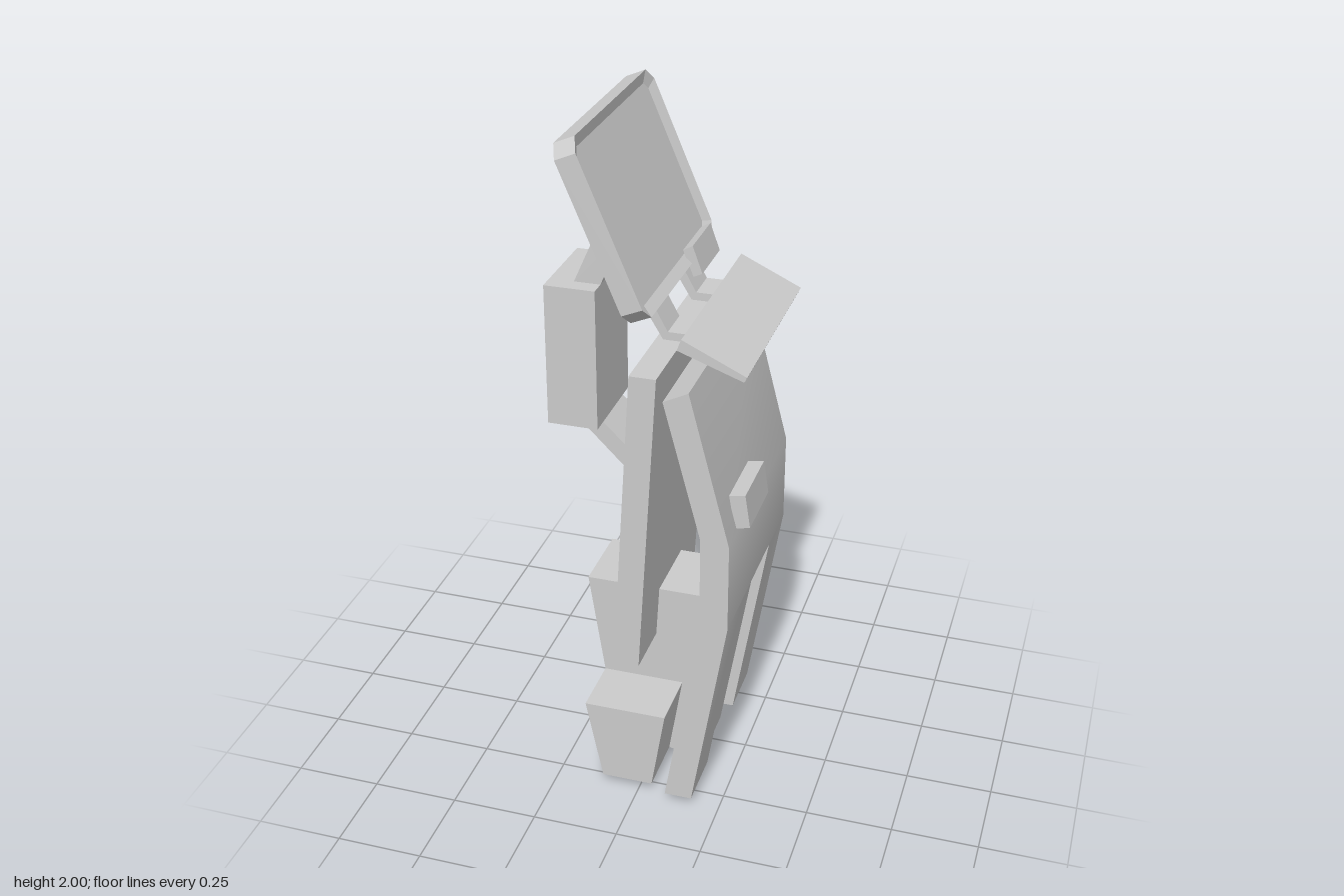
import * as THREE from 'three';
import { mergeGeometries, toCreasedNormals } from 'three/addons/utils/BufferGeometryUtils.js';

const material = new THREE.MeshStandardMaterial({ color: 0xcccccc });

// Side profile in x/y, swept from z0 to z1
function slab(points, z0, z1) {
  const shape = new THREE.Shape(points.map(([x, y]) => new THREE.Vector2(x, y)));
  const geo = new THREE.ExtrudeGeometry(shape, { depth: z1 - z0, bevelEnabled: false });
  return geo.translate(0, 0, z0);
}

// Chamfered rectangular plate facing +x, with a shallow sloped recess in its front
function recessedPlate(halfH, halfW, thickness, chamfer, border, recess) {
  const ring = (x, h, w, c) => [
    [x, h, -w + c], [x, h, w - c], [x, h - c, w], [x, -h + c, w],
    [x, -h, w - c], [x, -h, -w + c], [x, -h + c, -w], [x, h - c, -w],
  ];
  const t = thickness / 2;
  const rings = [
    ring(-t, 0, 0, 0),
    ring(-t, halfH, halfW, chamfer),
    ring(t, halfH, halfW, chamfer),
    ring(t - recess, halfH - border, halfW - border, chamfer * 0.6),
    ring(t - recess, 0, 0, 0),
  ];
  const pos = [];
  for (let r = 0; r < rings.length - 1; r++) {
    for (let i = 0; i < 8; i++) {
      const j = (i + 1) % 8, a = rings[r], b = rings[r + 1];
      if (r > 0) pos.push(...a[i], ...a[j], ...b[j]);
      if (r === 0) pos.push(...a[i], ...b[j], ...b[i]);
      else if (r < rings.length - 2) pos.push(...a[i], ...b[j], ...b[i]);
    }
  }
  const geo = new THREE.BufferGeometry();
  geo.setAttribute('position', new THREE.Float32BufferAttribute(pos, 3));
  geo.computeVertexNormals();
  return geo;
}

export function createModel() {
  const group = new THREE.Group();
  const add = (name, geo) => {
    const mesh = new THREE.Mesh(geo, material);
    mesh.name = name;
    group.add(mesh);
    return mesh;
  };

  // Bent front panel with an open slot between its two legs
  const upper = [[0.085, 1.32], [0.155, 1.355], [0.27, 0.91], [0.27, 0.645], [0.19, 0.645], [0.19, 0.92]];
  const leg = [[0.19, 0.645], [0.27, 0.645], [0.17, 0.03], [0.09, 0.03]];
  const panel = mergeGeometries([
    slab(upper, -0.32, 0.32), slab(leg, 0.145, 0.32), slab(leg, -0.32, -0.145),
  ]);
  add('frontPanel', toCreasedNormals(panel, 0.5));

  // Small block on the front panel
  add('panelBlock', slab([[0.245, 1.02], [0.29, 1.027], [0.305, 0.93], [0.262, 0.92]], 0.035, 0.235));

  // Tongue set in the slot
  add('slotTongue', slab([[0.13, 0.597], [0.235, 0.575], [0.14, 0.003], [0.04, 0.03]], -0.11, 0.11));

  // Base and the column rising from it
  add('base', slab([[-0.16, 0.28], [0.08, 0.28], [0.04, 0.03], [-0.11, 0.03]], -0.29, 0.29));
  add('baseColumn', slab([[-0.207, 0.597], [0.13, 0.597], [0.08, 0.28], [-0.16, 0.28]], -0.11, 0.11));

  // Upright back board
  add('backBoard', slab([[-0.02, 1.36], [0.055, 1.36], [0, 0.44], [-0.075, 0.44]], -0.28, 0.28));

  // Rear box with struts to the head plate and the back board
  add('rearBox', slab([[-0.305, 1.105], [-0.16, 1.105], [-0.16, 1.52], [-0.305, 1.52]], -0.135, 0.135));
  add('upperStrut', slab([[-0.235, 1.52], [-0.16, 1.52], [-0.085, 1.69], [-0.12, 1.78]], -0.087, 0.087));
  add('lowerStrut', slab([[-0.23, 1.105], [-0.16, 1.105], [-0.04, 0.99], [-0.045, 0.92]], -0.087, 0.087));

  // Tilted head plate with its small block
  const head = add('headPlate', recessedPlate(0.25, 0.32, 0.061, 0.035, 0.03, 0.015));
  head.position.set(-0.08, 1.7575, 0);
  head.rotation.z = 0.401;
  add('headBlock', slab([[0.02, 1.575], [0.047, 1.59], [0.075, 1.512], [0.05, 1.5]], -0.255, -0.08));

  // Two bent links carrying the tapered front flap
  const link = [[-0.005, 1.515], [0.02, 1.525], [0.058, 1.455], [0.15, 1.455], [0.15, 1.432], [0.045, 1.432]];
  for (const side of [-1, 1]) {
    add(side > 0 ? 'leftLink' : 'rightLink', slab(link, side * 0.1325 - 0.0525, side * 0.1325 + 0.0525));
  }
  add('frontFlap', slab([[0.115, 1.46], [0.127, 1.492], [0.302, 1.41], [0.295, 1.395]], -0.295, 0.295));

  return group;
}
